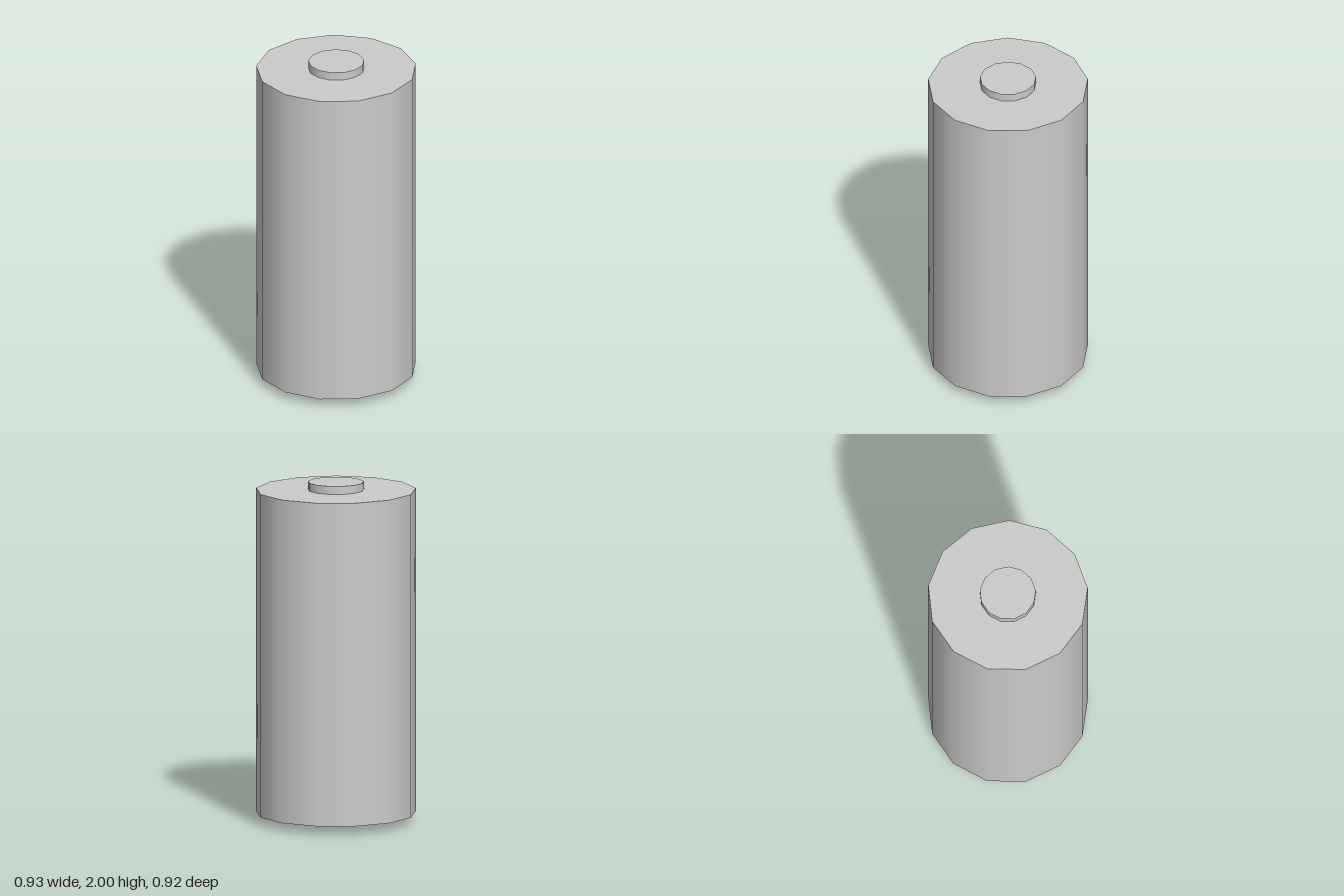
import * as THREE from 'three';

const SIDES = 13;
const CENTRE_Z = 0.007; // centres the odd-sided outline on z = 0

export function createModel() {
  const group = new THREE.Group();
  const material = new THREE.MeshStandardMaterial({ color: 0xcccccc });

  // Upright smooth-sided prism with one corner pointing to the back
  const addCylinder = (name, radius, bottom, top) => {
    const geometry = new THREE.CylinderGeometry(radius, radius, top - bottom, SIDES, 1, false, Math.PI);
    const mesh = new THREE.Mesh(geometry, material);
    mesh.name = name;
    mesh.position.set(0, (bottom + top) / 2, CENTRE_Z);
    group.add(mesh);
  };

  addCylinder('body', 0.466, 0.05, 1.953);

  // Short round stubs at both ends
  addCylinder('bottomStub', 0.163, 0, 0.05);
  addCylinder('topStub', 0.163, 1.953, 2);

  return group;
}
